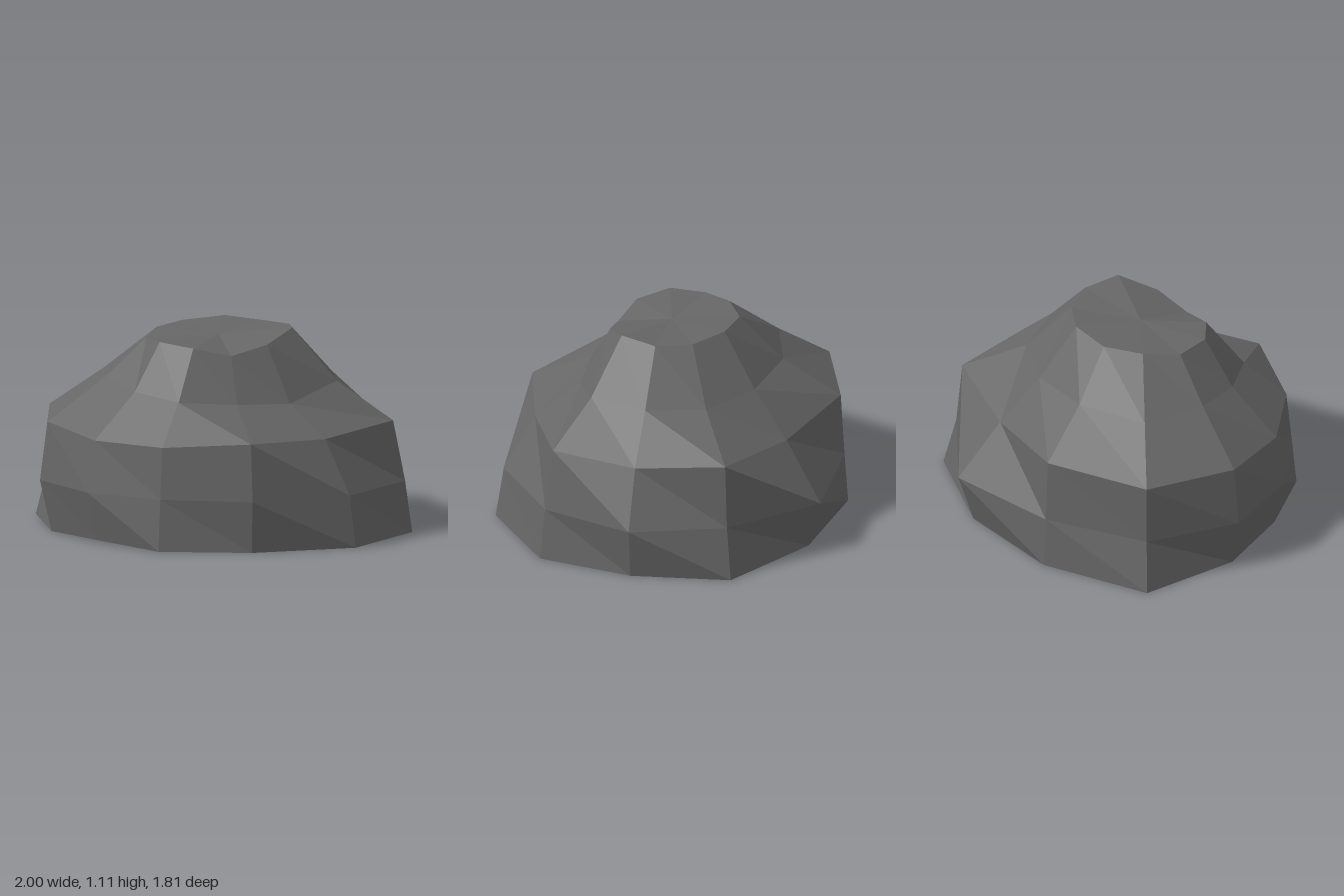
import * as THREE from 'three';

const SIDES = 11;
const CENTRE_X = -0.06, CENTRE_Z = 0.03, STRETCH_X = 1.13;

// Cross-sections from the ground up: a radius and a height for each corner
const RINGS = [
  { r: [0.9, 0.965, 0.96, 0.83, 0.795, 0.73, 0.812, 1.02, 0.95, 0.94, 1.0],
    y: [0, 0, 0, 0, 0, 0.015, 0, 0, 0, 0, 0] },
  { r: [0.938, 0.93, 0.917, 0.85, 0.77, 0.784, 0.867, 0.95, 0.93, 1.025, 0.935],
    y: Array(SIDES).fill(0.28) },
  { r: [0.8, 0.87, 0.746, 0.81, 0.743, 0.74, 0.83, 0.943, 0.91, 0.79, 0.905],
    y: [0.59, 0.61, 0.57, 0.59, 0.56, 0.56, 0.6, 0.61, 0.63, 0.585, 0.63] },
  { r: [0.58, 0.59, 0.5, 0.47, 0.527, 0.5, 0.55, 0.64, 0.6, 0.57, 0.58],
    y: [0.82, 0.82, 0.735, 0.75, 0.77, 0.8, 0.84, 0.83, 0.84, 0.82, 0.81] },
  { r: [0.363, 0.368, 0.34, 0.313, 0.334, 0.351, 0.35, 0.344, 0.364, 0.363, 0.351],
    y: [1.09, 1.105, 1.04, 0.99, 1.035, 1.055, 1.05, 1.075, 1.085, 1.1, 1.085] },
];

function corner(ring, k) {
  const i = k % SIDES;
  const a = (i / SIDES) * Math.PI * 2;
  return [
    CENTRE_X + Math.cos(a) * ring.r[i] * STRETCH_X,
    ring.y[i],
    CENTRE_Z + Math.sin(a) * ring.r[i],
  ];
}

function facets(corners) {
  const geometry = new THREE.BufferGeometry();
  geometry.setAttribute('position', new THREE.Float32BufferAttribute(corners.flat(), 3));
  geometry.computeVertexNormals();
  return geometry;
}

export function createModel() {
  const group = new THREE.Group();
  group.name = 'boulder';
  const stone = new THREE.MeshStandardMaterial({ color: 0x666666, flatShading: true });
  stone.name = 'dark grey stone';

  const add = (name, corners) => {
    const mesh = new THREE.Mesh(facets(corners), stone);
    mesh.name = name;
    group.add(mesh);
  };

  // Faceted sides between neighbouring rings
  const sides = [];
  for (let j = 0; j < RINGS.length - 1; j++) {
    for (let k = 0; k < SIDES; k++) {
      const a = corner(RINGS[j], k), b = corner(RINGS[j], k + 1);
      const c = corner(RINGS[j + 1], k), d = corner(RINGS[j + 1], k + 1);
      sides.push(a, c, d, a, d, b);
    }
  }
  add('rockSides', sides);

  // Shallow crown and flat underside, each a fan around its middle
  const crown = [], underside = [];
  const top = RINGS[RINGS.length - 1], bottom = RINGS[0];
  for (let k = 0; k < SIDES; k++) {
    crown.push([CENTRE_X, 1.06, CENTRE_Z], corner(top, k + 1), corner(top, k));
    underside.push([CENTRE_X, 0, CENTRE_Z], corner(bottom, k), corner(bottom, k + 1));
  }
  add('rockCrown', crown);
  add('rockUnderside', underside);

  return group;
}
